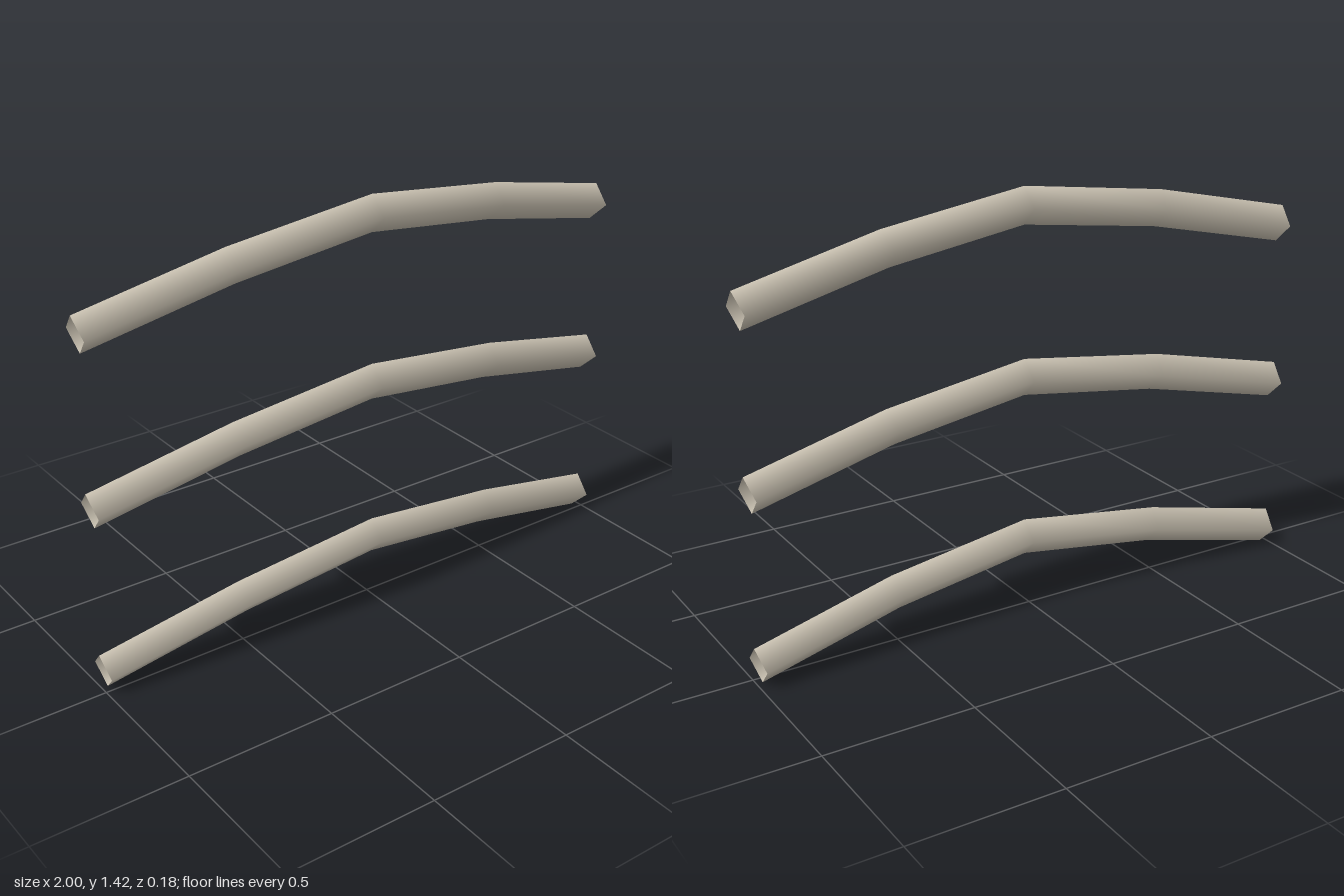
import * as THREE from 'three';

export function createModel() {
  const group = new THREE.Group();
  group.name = 'bowedRails';

  const paint = new THREE.MeshStandardMaterial({ color: 0xc8c0b0, side: THREE.DoubleSide });
  paint.name = 'warmGrey';

  // Gentle arch, bowed up and forward in the middle
  const path = new THREE.CatmullRomCurve3([
    new THREE.Vector3(-0.99, 0.061, -0.028),
    new THREE.Vector3(0, 0.232, 0.028),
    new THREE.Vector3(0.99, 0.061, -0.028),
  ]);

  // Open-ended, four-sided tube with smooth normals
  const railGeometry = new THREE.TubeGeometry(path, 4, 0.0615, 4, false);

  // Three identical rails stacked at an even spacing
  ['lowerRail', 'middleRail', 'upperRail'].forEach((name, i) => {
    const rail = new THREE.Mesh(railGeometry, paint);
    rail.name = name;
    rail.position.y = i * 0.565;
    group.add(rail);
  });

  return group;
}
